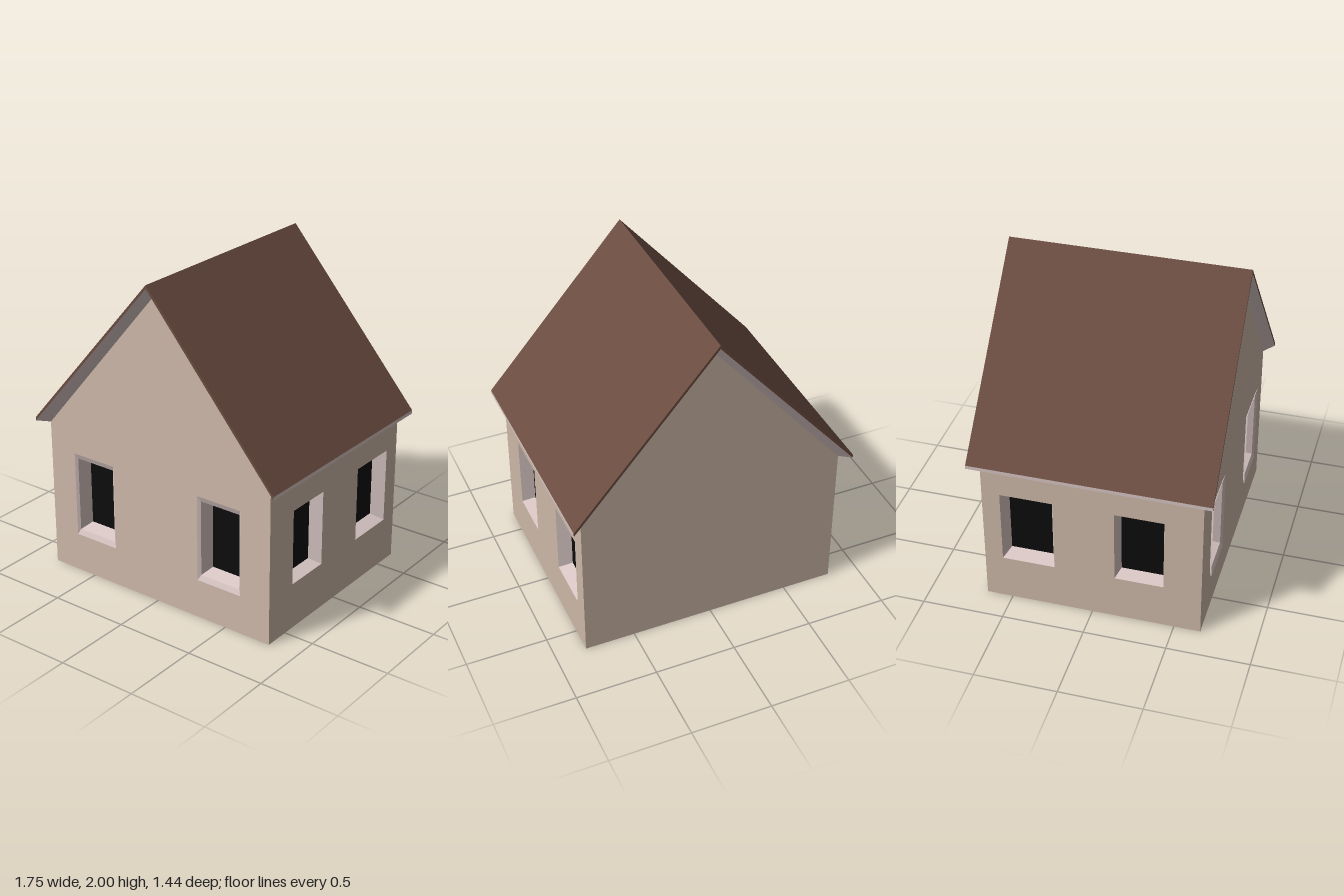
import * as THREE from 'three';

const mat = (color) => new THREE.MeshStandardMaterial({ color, side: THREE.DoubleSide });
const wallMat = mat(0xccb8a8), trimMat = mat(0xd6c4c2), roofMat = mat(0x6b4c40), glassMat = mat(0x0c0c0c);

const W = 0.81, D = 0.66, EAVE = 0.95, APEX = 1.91;

function add(parent, name, geometry, material) {
  const mesh = new THREE.Mesh(geometry, material);
  mesh.name = name;
  parent.add(mesh);
  return mesh;
}

// Flat-shaded surface from a list of four-cornered faces
function quads(list) {
  const pos = list.flatMap(([a, b, c, d]) => [a, b, c, a, c, d].flat());
  const g = new THREE.BufferGeometry();
  g.setAttribute('position', new THREE.Float32BufferAttribute(pos, 3));
  g.computeVertexNormals();
  return g;
}

// Faces joining two closed loops of equal length
const band = (a, b) => a.map((p, i) => {
  const j = (i + 1) % a.length;
  return [p, a[j], b[j], b[i]];
});

// Rectangle [x0, x1, y0, y1] as a loop of corners at depth z
const rectLoop = ([x0, x1, y0, y1], z) => [[x0, y0, z], [x1, y0, z], [x1, y1, z], [x0, y1, z]];

// Window set into a wall lying in z = 0: splayed reveal, optional raised rim, dark pane
function makeWindow({ hole, pane, rim }) {
  const g = new THREE.Group();
  g.name = 'window';
  const opening = rectLoop(hole, 0), back = rectLoop(pane, -0.08);
  const faces = band(opening, back);
  if (rim) faces.push(...band(rectLoop(rim, 0.013), opening));
  add(g, 'windowReveal', quads(faces), trimMat);
  add(g, 'windowPane', quads([back]), glassMat);
  return g;
}

// Wall outline with openings, turned to face its own side of the house
function makeWall(name, outline, windows, angle, distance) {
  const g = new THREE.Group();
  g.name = name;
  const shape = new THREE.Shape(outline.map((p) => new THREE.Vector2(...p)));
  for (const w of windows) {
    shape.holes.push(new THREE.Path(rectLoop(w.hole, 0).reverse().map(([x, y]) => new THREE.Vector2(x, y))));
    g.add(makeWindow(w));
  }
  add(g, name + 'Surface', new THREE.ShapeGeometry(shape), wallMat);
  g.rotation.y = angle;
  g.position.set(Math.sin(angle) * distance, 0, Math.cos(angle) * distance);
  return g;
}

const flip = ([a, b, c, d]) => [-b, -a, c, d];
const mirrorWindow = (w) => Object.fromEntries(Object.entries(w).map(([k, r]) => [k, flip(r)]));

// Loop round the house: front eave, front ridge, front eave, then the same at the back
function roofLoop(x, yEave, yRidge, zEave, zRidge) {
  return [
    [-x, yEave, zEave], [0, yRidge, zRidge], [x, yEave, zEave],
    [x, yEave, -zEave], [0, yRidge, -zRidge], [-x, yEave, -zEave],
  ];
}

function makeRoof() {
  const g = new THREE.Group();
  g.name = 'roof';
  const top = roofLoop(0.873, 0.985, 2.0, 0.722, 0.714);
  const edge = roofLoop(0.873, 0.963, 1.978, 0.722, 0.714);
  const wall = roofLoop(W, EAVE, APEX, D, D);
  const rim = band(edge, top);

  // Two slopes and the thin edges along the gables
  const slopes = [[top[0], top[1], top[4], top[5]], [top[1], top[2], top[3], top[4]]];
  add(g, 'roofSlopes', quads([...slopes, ...rim.filter((_, i) => i % 3 !== 2)]), roofMat);

  // Eave boards and the slanted underside running back to the walls
  add(g, 'eaveBoards', quads(rim.filter((_, i) => i % 3 === 2)), trimMat);
  add(g, 'soffit', quads(band(wall, edge)), trimMat);
  return g;
}

export function createModel() {
  const house = new THREE.Group();
  house.name = 'house';

  const gable = [[-W, 0], [W, 0], [W, EAVE], [0, APEX], [-W, EAVE]];
  const side = [[-D, 0], [D, 0], [D, EAVE], [-D, EAVE]];

  const frontWindow = {
    rim: [0.31, 0.615, 0.255, 0.798],
    hole: [0.328, 0.6, 0.288, 0.765],
    pane: [0.352, 0.573, 0.315, 0.738],
  };
  const sideWindows = [
    { hole: [-0.434, -0.138, 0.29, 0.762], pane: [-0.413, -0.16, 0.312, 0.737] },
    { hole: [0.228, 0.55, 0.29, 0.762], pane: [0.26, 0.518, 0.323, 0.732] },
  ];

  house.add(
    makeWall('frontWall', gable, [frontWindow, mirrorWindow(frontWindow)], 0, D),
    makeWall('backWall', gable, [], Math.PI, D),
    makeWall('leftWall', side, sideWindows, Math.PI / 2, W),
    makeWall('rightWall', side, sideWindows.map(mirrorWindow), -Math.PI / 2, W),
    makeRoof(),
  );

  // Underside of the house
  add(house, 'floor', quads([[[-W, 0, -D], [W, 0, -D], [W, 0, D], [-W, 0, D]]]), wallMat);
  return house;
}
